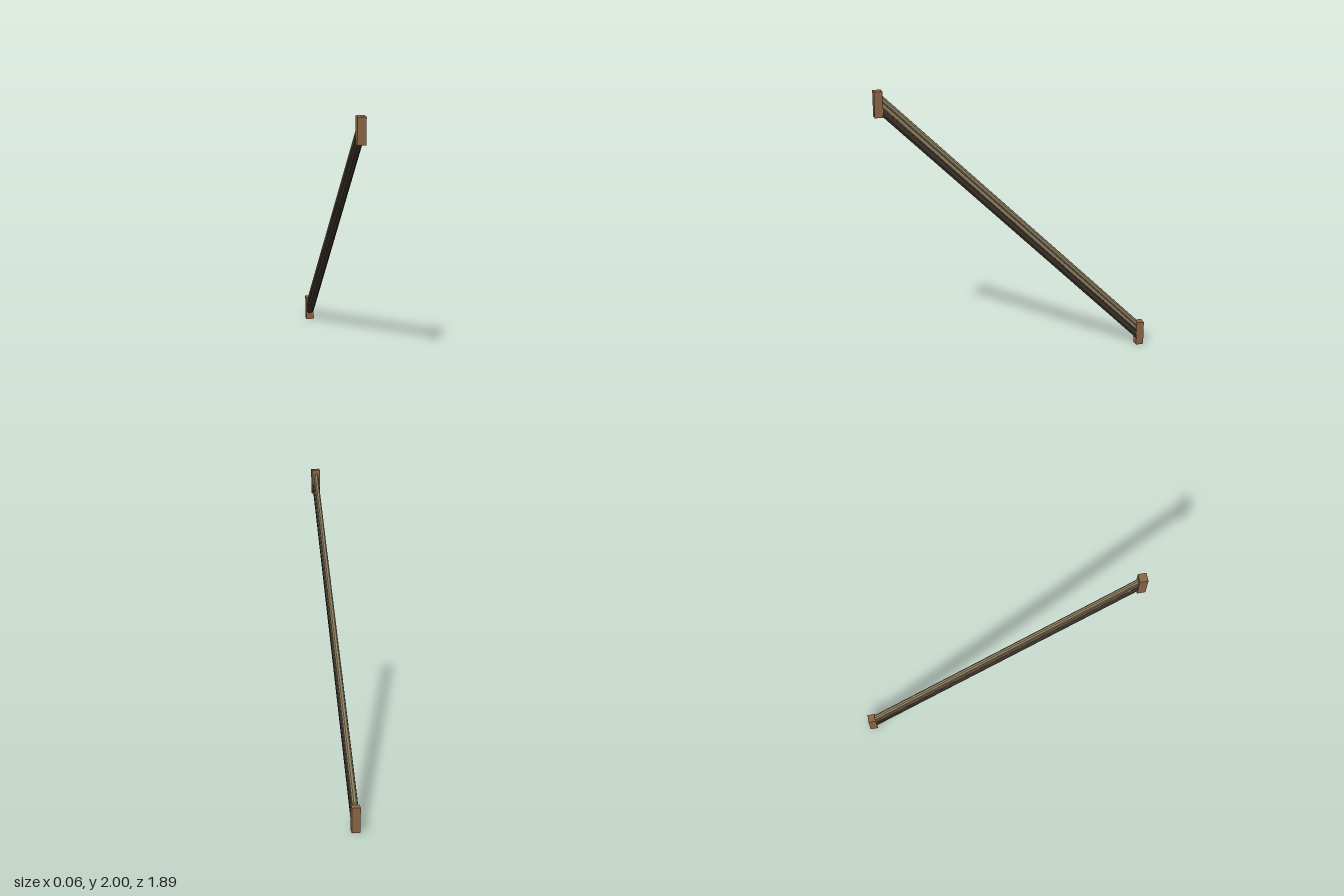
import * as THREE from 'three';

const mat = (color) => new THREE.MeshStandardMaterial({ color, flatShading: true });

// Extrude a symmetric half profile along z, then lean it up the slope
function slopedBar(name, half, material) {
  const mirrored = half.slice().reverse().map(([x, y]) => [-x, y]);
  const shape = new THREE.Shape([...half, ...mirrored].map(([x, y]) => new THREE.Vector2(x, y)));
  const length = 1.79;
  const geo = new THREE.ExtrudeGeometry(shape, { depth: length, bevelEnabled: false });
  geo.translate(0, 0, -length / 2);
  const p = geo.attributes.position;
  for (let i = 0; i < p.count; i++) {
    const z = p.getZ(i);
    // slightly slimmer towards the upper end, ends stay vertical
    p.setX(i, p.getX(i) * (1 - 0.13 * z));
    p.setY(i, p.getY(i) + 0.94 + z);
  }
  geo.computeVertexNormals();
  const mesh = new THREE.Mesh(geo, material);
  mesh.name = name;
  return mesh;
}

export function createModel() {
  const model = new THREE.Group();
  model.name = 'slopedRail';
  const wood = mat(0x8b6545);

  // End blocks
  for (const [name, y, z] of [['upperBlock', 1.9145, 0.917], ['lowerBlock', 0.0855, -0.917]]) {
    const block = new THREE.Mesh(new THREE.BoxGeometry(0.056, 0.171, 0.054), wood);
    block.name = name;
    block.position.set(0, y, z);
    model.add(block);
  }

  // Dark lower beam with a chamfered underside
  model.add(slopedBar('lowerBeam', [
    [0.012, 0], [0.025, 0.02], [0.025, 0.055], [0.018, 0.068],
  ], mat(0x3c332b)));

  // Pale upper rail with a shallow groove along each side
  model.add(slopedBar('upperRail', [
    [0.017, 0.066], [0.017, 0.092], [0.012, 0.098], [0.016, 0.104],
    [0.016, 0.126], [0.007, 0.14],
  ], mat(0x8f8062)));

  return model;
}
